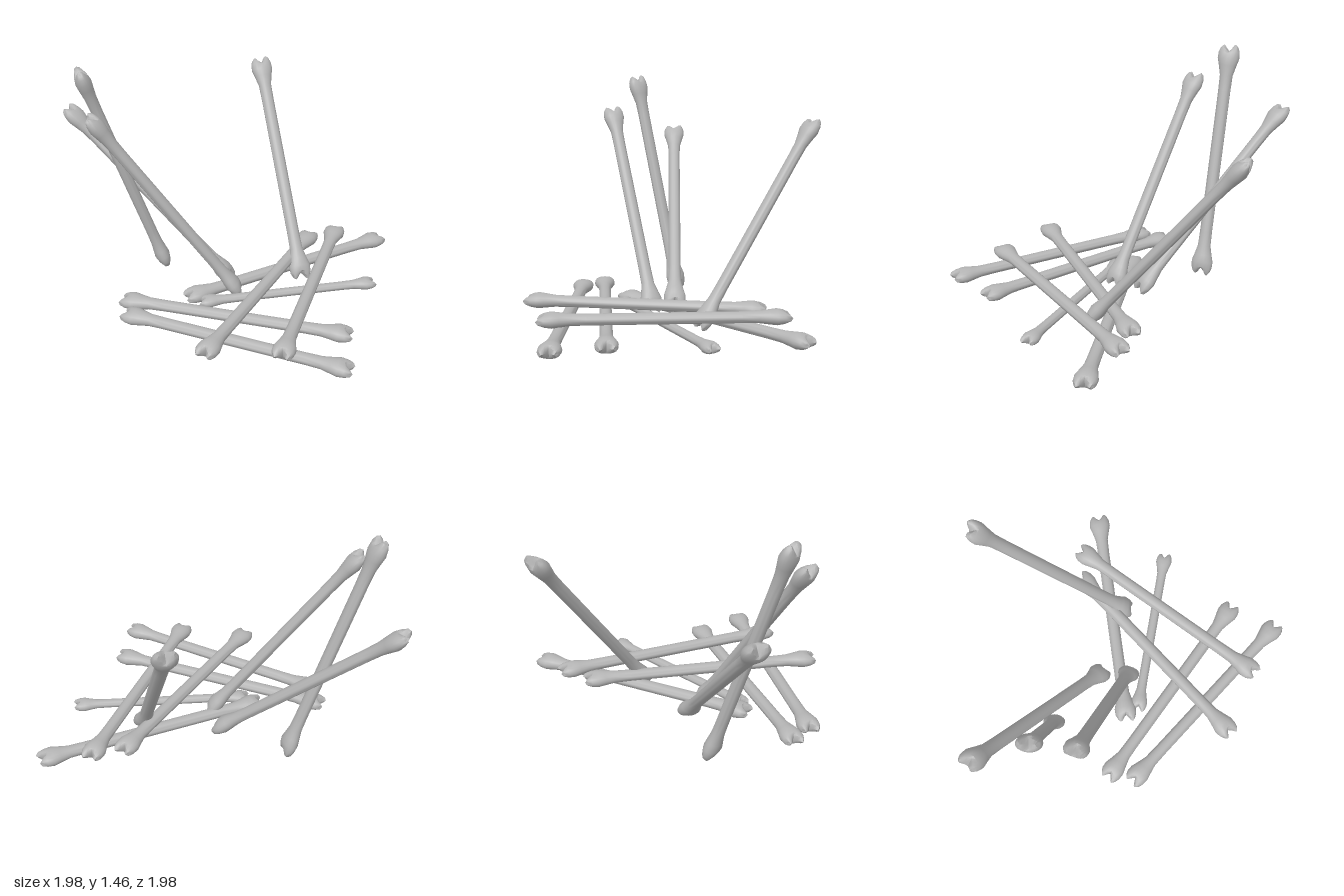
import * as THREE from 'three';
import { toCreasedNormals } from 'three/addons/utils/BufferGeometryUtils.js';

const LENGTH = 1.5;
const SEGMENTS = 20;

// Half of a bone: [distance from tip, half width, half thickness, notch depth]
const HEAD = [
  [0.0, 0.046, 0.0, 0.055],
  [0.014, 0.058, 0.026, 0.042],
  [0.05, 0.067, 0.04, 0.012],
  [0.095, 0.069, 0.048, 0],
  [0.14, 0.056, 0.043, 0],
  [0.2, 0.041, 0.036, 0],
  [0.3, 0.039, 0.034, 0],
];

// Loft of elliptical rings along y, with a V notch pressed into each end
function boneGeometry() {
  const rings = [
    ...HEAD.map(([d, a, b, n]) => ({ y: -LENGTH / 2 + d, a, b, n, side: -1 })),
    ...HEAD.slice().reverse().map(([d, a, b, n]) => ({ y: LENGTH / 2 - d, a, b, n, side: 1 })),
  ];
  const positions = [];
  const indices = [];
  rings.forEach(({ y, a, b, n, side }, r) => {
    for (let i = 0; i < SEGMENTS; i++) {
      const t = (i / SEGMENTS) * Math.PI * 2;
      const w = Math.abs(Math.cos(t));
      const dip = w < 0.75 ? n * (1 - w / 0.75) : n * 0.35 * ((w - 0.75) / 0.25);
      // one knuckle is slightly longer than the other
      const uneven = Math.cos(t) < 0 ? n * 0.15 * w : 0;
      positions.push(a * Math.cos(t), y - side * (dip + uneven), b * Math.sin(t));
      if (r === 0) continue;
      const j = (i + 1) % SEGMENTS;
      const p = (r - 1) * SEGMENTS, q = r * SEGMENTS;
      indices.push(p + i, q + i, p + j, p + j, q + i, q + j);
    }
  });
  const geo = new THREE.BufferGeometry();
  geo.setAttribute('position', new THREE.Float32BufferAttribute(positions, 3));
  geo.setIndex(indices);
  return toCreasedNormals(geo, 0.9);
}

// Start tip and end tip of every bone
const BONES = {
  lowerBone: [
    [[-0.92, 0.06, -0.09], [0.13, 0.06, 0.96]],
    [[-0.89, 0.06, -0.24], [0.28, 0.06, 0.67]],
    [[-0.52, 0.06, -0.09], [0.985, 0.065, -0.24]],
  ],
  smallBone: [
    [[-0.45, 0.055, -0.02], [0.675, 0.055, 0.22]],
  ],
  upperBone: [
    [[-0.65, 0.13, 0.59], [0.51, 0.13, -0.39]],
    [[-0.25, 0.13, 0.78], [0.7, 0.13, -0.39]],
  ],
  standingBone: [
    [[0.27, 0.02, -0.03], [0.365, 1.235, -0.96]],
    [[-0.14, 0.02, -0.22], [-0.965, 1.095, -0.965]],
    [[-0.15, 0.02, -0.05], [-0.96, 1.265, -0.375]],
    [[-0.48, 0.02, -0.56], [-0.945, 1.475, -0.585]],
  ],
};

export function createModel() {
  const model = new THREE.Group();
  model.name = 'bonePile';
  const boneGrey = new THREE.MeshStandardMaterial({ color: 0xb4b4b4 });
  boneGrey.name = 'boneGrey';
  const geometry = boneGeometry();
  const up = new THREE.Vector3(0, 1, 0);

  for (const [name, list] of Object.entries(BONES)) {
    list.forEach(([start, end], i) => {
      const a = new THREE.Vector3(...start);
      const b = new THREE.Vector3(...end);
      const axis = b.clone().sub(a);
      const length = axis.length();
      axis.normalize();
      // the forked heads always spread horizontally
      const width = new THREE.Vector3().crossVectors(axis, up).normalize();
      const thick = new THREE.Vector3().crossVectors(width, axis);
      const bone = new THREE.Mesh(geometry, boneGrey);
      bone.name = `${name}${i + 1}`;
      bone.quaternion.setFromRotationMatrix(new THREE.Matrix4().makeBasis(width, axis, thick));
      bone.position.copy(a).add(b).multiplyScalar(0.5);
      bone.scale.setScalar(length / LENGTH);
      model.add(bone);
    });
  }
  return model;
}
